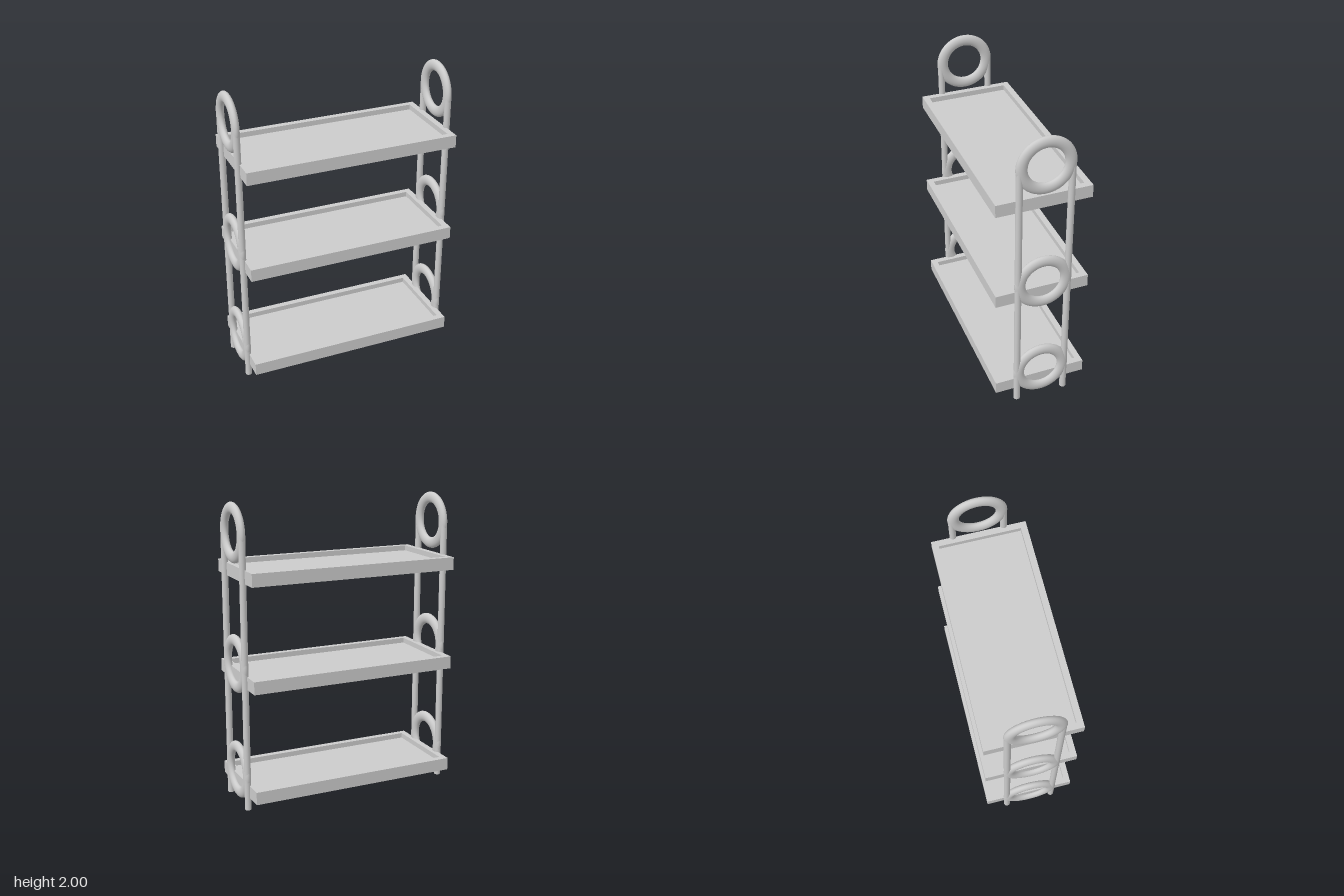
import * as THREE from 'three';

const grey = new THREE.MeshStandardMaterial({ color: 0xcccccc });

function add(parent, name, geometry, x = 0, y = 0, z = 0) {
  const mesh = new THREE.Mesh(geometry, grey);
  mesh.name = name;
  mesh.position.set(x, y, z);
  parent.add(mesh);
  return mesh;
}

// Corners of a rectangle centred on the origin
function rectangle(w, d) {
  return [[-w, -d], [w, -d], [w, d], [-w, d]].map(([x, y]) => new THREE.Vector2(x / 2, y / 2));
}

export function createModel() {
  const model = new THREE.Group();
  model.name = 'shelfRack';

  // Trays: a raised rim around a sunken floor
  const width = 1.432, depth = 0.628, height = 0.085, rim = 0.042, floorHeight = 0.05;
  const rimShape = new THREE.Shape(rectangle(width, depth));
  rimShape.holes.push(new THREE.Path(rectangle(width - 2 * rim, depth - 2 * rim).reverse()));
  const rimGeometry = new THREE.ExtrudeGeometry(rimShape, { depth: height, bevelEnabled: false });
  rimGeometry.rotateX(-Math.PI / 2);
  const floorGeometry = new THREE.BoxGeometry(width - 2 * rim, floorHeight, depth - 2 * rim);

  [['lowerTray', 0.085], ['middleTray', 0.826], ['upperTray', 1.51]].forEach(([name, y]) => {
    const tray = new THREE.Group();
    tray.name = name;
    tray.position.y = y;
    add(tray, 'trayRim', rimGeometry);
    add(tray, 'trayFloor', floorGeometry, 0, floorHeight / 2, 0);
    model.add(tray);
  });

  // End frames: two posts joined by three flattened rings
  const postHeight = 1.8;
  const postGeometry = new THREE.CylinderGeometry(0.022, 0.022, postHeight, 24);
  const ringGeometry = new THREE.TorusGeometry(0.156, 0.037, 20, 64);
  ringGeometry.scale(1, 1, 0.025 / 0.037);
  ringGeometry.rotateY(Math.PI / 2);

  for (const side of [1, -1]) {
    const frame = new THREE.Group();
    frame.name = side > 0 ? 'leftEndFrame' : 'rightEndFrame';
    frame.position.x = side * 0.722;
    add(frame, 'frontPost', postGeometry, 0, postHeight / 2, 0.168);
    add(frame, 'backPost', postGeometry, 0, postHeight / 2, -0.168);
    add(frame, 'lowerRing', ringGeometry, 0, 0.222, 0);
    add(frame, 'middleRing', ringGeometry, 0, 0.954, 0);
    add(frame, 'handleRing', ringGeometry, 0, 1.807, 0);
    model.add(frame);
  }

  return model;
}
